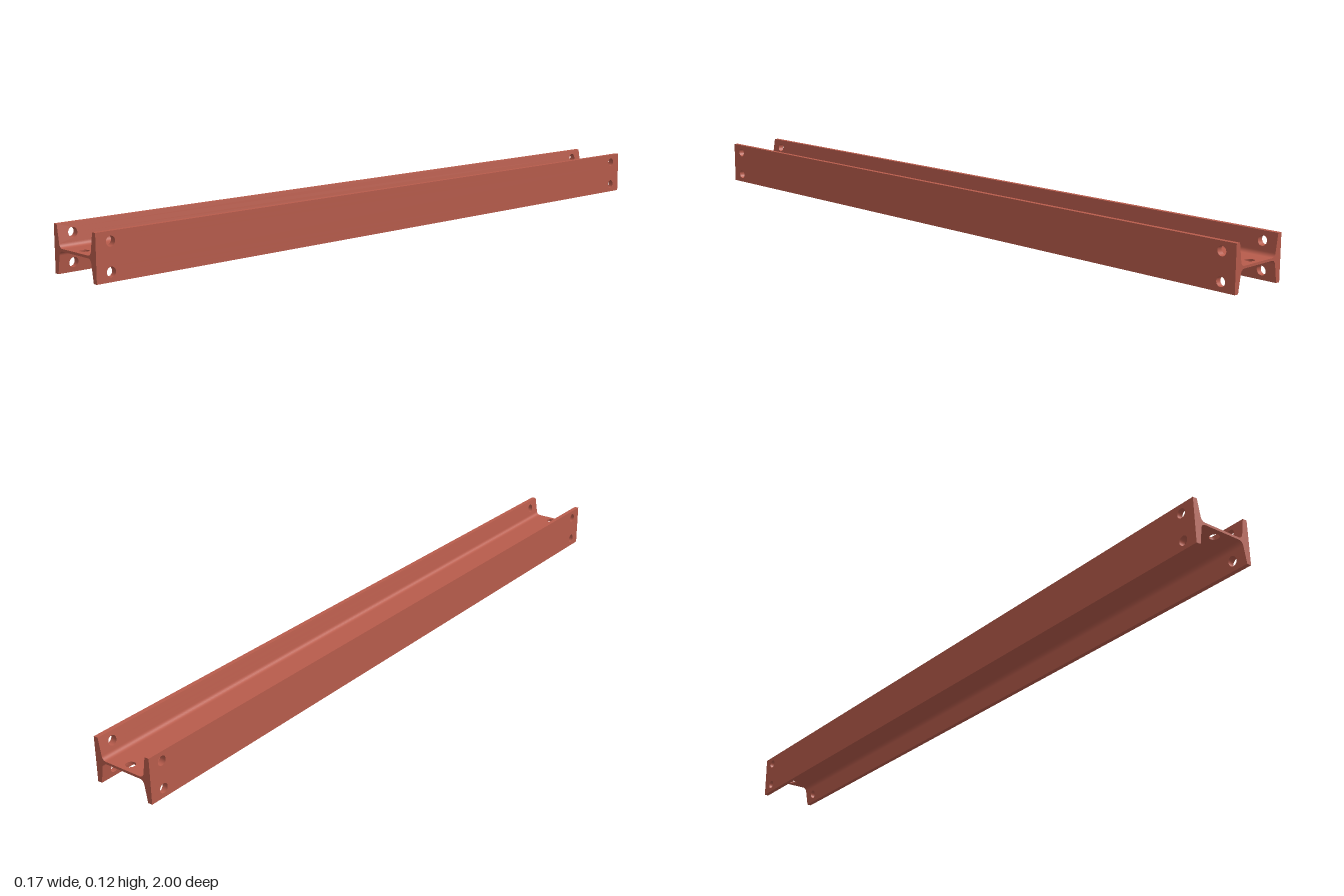
import * as THREE from 'three';

const LENGTH = 2;
const X = 0.087;        // outer flange face
const TIP = 0.0745;     // inner flange face at the tip
const H = 0.06;         // half height
const WEB = 0.0032;     // half web thickness
const FILLET = 0.013;   // root fillet radius
const SLOPE = 1 / 6;    // taper of the inner flange face
const HOLE = 0.0125;    // bolt hole radius
const FLANGE_HOLE = { y: 0.036, z: 0.96 };
const WEB_HOLE_Z = 0.975;

const material = new THREE.MeshStandardMaterial({ color: 0xb85c4c });

// Root fillet: tangent to the web and to the tapered flange face
const taperX = (y) => TIP - (H - y) * SLOPE;
const a = Math.atan(SLOPE);
const cy = WEB + FILLET;
const tangentY = cy - FILLET * Math.sin(a);
const cx = taperX(tangentY) - FILLET * Math.cos(a);
const filletPoint = (t) => {
  const angle = THREE.MathUtils.lerp(-Math.PI / 2, -a, t);
  return [cx + FILLET * Math.cos(angle), cy + FILLET * Math.sin(angle)];
};

// Moves the vertices of a flat (u, v) geometry to rule(u, v)
function mapped(name, geometry, rule) {
  const pos = geometry.attributes.position;
  for (let i = 0; i < pos.count; i++) pos.setXYZ(i, ...rule(pos.getX(i), pos.getY(i)));
  geometry.computeVertexNormals();
  const mesh = new THREE.Mesh(geometry, material);
  mesh.name = name;
  return mesh;
}

// Full-length plate face, v0 to v1 wide, with holes near both ends
function face(v0, v1, holeZ = 0, holeVs = []) {
  const e = LENGTH / 2;
  const shape = new THREE.Shape([[-e, v0], [e, v0], [e, v1], [-e, v1]].map((p) => new THREE.Vector2(...p)));
  for (const z of [-holeZ, holeZ]) {
    for (const v of holeVs) shape.holes.push(new THREE.Path().absarc(z, v, HOLE, 0, Math.PI * 2, true));
  }
  return new THREE.ShapeGeometry(shape, 12);
}

// Unit strip with u and v from 0 to 1
const strip = (nu, nv) => new THREE.PlaneGeometry(1, 1, nu, nv).translate(0.5, 0.5, 0);

// Upper half of the inner side of one flange
function createFlangeHalf() {
  const half = new THREE.Group();
  half.name = 'flangeHalf';
  const { y: hy, z: hz } = FLANGE_HOLE;
  half.add(
    mapped('flangeTip', face(TIP, X), (z, x) => [x, H, z]),
    mapped('flangeInnerFace', face(tangentY, H, hz, [hy]), (z, y) => [taperX(y), y, z]),
    mapped('rootFillet', strip(1, 10), (u, v) => [...filletPoint(v), (u - 0.5) * LENGTH]),
  );
  for (const z of [-hz, hz]) {
    half.add(mapped('flangeHoleWall', strip(24, 1), (u, t) => {
      const y = hy + HOLE * Math.cos(u * Math.PI * 2);
      return [THREE.MathUtils.lerp(X, taperX(y), t), y, z + HOLE * Math.sin(u * Math.PI * 2)];
    }));
  }
  return half;
}

function createFlange(name) {
  const flange = new THREE.Group();
  flange.name = name;
  const { y, z } = FLANGE_HOLE;
  flange.add(mapped('flangeOuterFace', face(-H, H, z, [-y, y]), (u, v) => [X, v, -u]));
  const lower = createFlangeHalf();
  lower.rotation.x = Math.PI;
  flange.add(createFlangeHalf(), lower);
  return flange;
}

function createWeb() {
  const web = new THREE.Group();
  web.name = 'web';
  for (const turn of [0, Math.PI]) {
    const side = mapped('webFace', face(-cx, cx, WEB_HOLE_Z, [0]), (z, x) => [x, WEB, z]);
    side.rotation.z = turn;
    web.add(side);
  }
  for (const z of [-WEB_HOLE_Z, WEB_HOLE_Z]) {
    web.add(mapped('webHoleWall', strip(24, 1), (u, t) => {
      const angle = u * Math.PI * 2;
      return [HOLE * Math.cos(angle), (2 * t - 1) * WEB, z + HOLE * Math.sin(angle)];
    }));
  }
  return web;
}

// H-shaped end face, mirrored from one quarter of the outline
function createEnd(name) {
  const quarter = [[X, H], [TIP, H]];
  for (let i = 10; i >= 0; i--) quarter.push(filletPoint(i / 10));
  const back = [...quarter].reverse();
  const outline = [
    ...quarter,
    ...back.map(([x, y]) => [-x, y]),
    ...quarter.map(([x, y]) => [-x, -y]),
    ...back.map(([x, y]) => [x, -y]),
  ];
  const shape = new THREE.Shape(outline.map((p) => new THREE.Vector2(...p)));
  return mapped(name, new THREE.ShapeGeometry(shape), (x, y) => [x, y, LENGTH / 2]);
}

export function createModel() {
  const beam = new THREE.Group();
  beam.name = 'beam';
  const rightFlange = createFlange('rightFlange');
  rightFlange.rotation.y = Math.PI;
  const backEnd = createEnd('backEnd');
  backEnd.rotation.y = Math.PI;
  beam.add(createFlange('leftFlange'), rightFlange, createWeb(), createEnd('frontEnd'), backEnd);
  beam.position.y = H;

  const model = new THREE.Group();
  model.name = 'steelBeam';
  model.add(beam);
  return model;
}
